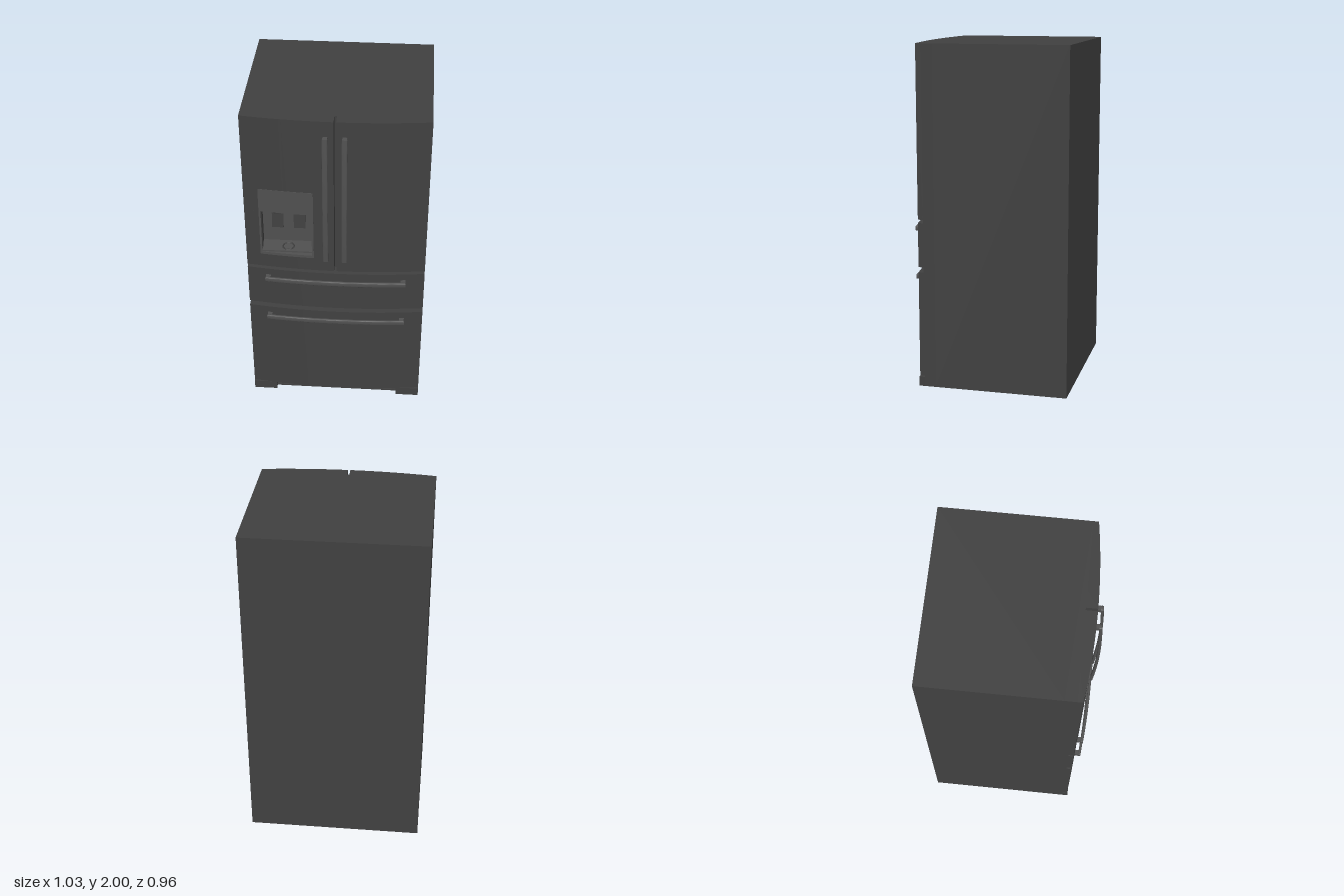
import * as THREE from 'three';
import { toCreasedNormals } from 'three/addons/utils/BufferGeometryUtils.js';

const dark = new THREE.MeshStandardMaterial({ color: 0x404040 });
const trim = new THREE.MeshStandardMaterial({ color: 0x505050 });

const W = 0.515; // half width
const BACK = -0.48, CAVITY = 0.3, BODY = 0.365; // z of back, dispenser back, cabinet front
const HOLE = { x0: -0.425, x1: -0.13, y0: 1.1, y1: 1.39 };

// Bowed front of the doors, seen from above
const frontZ = (x) => 0.43 - 0.035 * (x / W) ** 2;

function add(parent, name, geometry, material = dark, x = 0, y = 0, z = 0) {
  const mesh = new THREE.Mesh(geometry, material);
  mesh.name = name;
  mesh.position.set(x, y, z);
  parent.add(mesh);
  return mesh;
}

// Box given by its limits
function block(parent, name, x0, x1, y0, y1, z0, z1, material) {
  return add(parent, name, new THREE.BoxGeometry(x1 - x0, y1 - y0, z1 - z0), material,
    (x0 + x1) / 2, (y0 + y1) / 2, (z0 + z1) / 2);
}

// Plan outline between two z curves, extruded upwards
function planExtrude(x0, x1, zBack, zFront, height, bevel = 0) {
  const pts = [], n = 20;
  for (let i = 0; i <= n; i++) {
    const x = x0 + ((x1 - x0) * i) / n;
    pts.push(new THREE.Vector2(x, -zFront(x)));
  }
  for (let i = n; i >= 0; i--) {
    const x = x0 + ((x1 - x0) * i) / n;
    pts.push(new THREE.Vector2(x, -zBack(x)));
  }
  const geometry = new THREE.ExtrudeGeometry(new THREE.Shape(pts), {
    depth: height - 2 * bevel, bevelEnabled: bevel > 0, bevelSize: bevel,
    bevelThickness: bevel, bevelOffset: -bevel, bevelSegments: 3,
  });
  geometry.translate(0, 0, bevel).rotateX(-Math.PI / 2);
  return toCreasedNormals(geometry, 0.6);
}

// Piece of door or drawer with a bowed front
function slab(parent, name, x0, x1, y0, y1, proud = 0, material = dark) {
  const geometry = planExtrude(x0, x1, () => BODY, (x) => frontZ(x) + proud, y1 - y0);
  return add(parent, name, geometry, material, 0, y0, 0);
}

// Bowed bar handle lying along x, with a post at each end; origin at the door surface
function handle(name, half, barBack, bow, postBack) {
  const group = new THREE.Group();
  group.name = name;
  const back = (x) => barBack + bow * (1 - (x / half) ** 2);
  const bar = planExtrude(-half, half, back, (x) => back(x) + 0.016, 0.03, 0.005);
  add(group, 'handleBar', bar, trim, 0, -0.015, 0);
  for (const s of [-1, 1]) {
    const x = s * (half - 0.016);
    block(group, 'handlePost', x - 0.014, x + 0.014, -0.013, 0.013, postBack, barBack + 0.009, trim);
  }
  return group;
}

export function createModel() {
  const model = new THREE.Group();
  model.name = 'refrigerator';

  // Cabinet, with the dispenser opening cut through its front layer
  block(model, 'cabinet', -W, W, 0, 2, BACK, CAVITY);
  const face = new THREE.Shape([[-W, 0], [W, 0], [W, 2], [-W, 2]].map((p) => new THREE.Vector2(...p)));
  const { x0, x1, y0, y1 } = HOLE;
  face.holes.push(new THREE.Path([[x0, y0], [x0, y1], [x1, y1], [x1, y0]].map((p) => new THREE.Vector2(...p))));
  add(model, 'cabinetFront',
    new THREE.ExtrudeGeometry(face, { depth: BODY - CAVITY, bevelEnabled: false }), dark, 0, 0, CAVITY);

  // Upper doors; the one with the dispenser is built around the opening
  slab(model, 'leftDoor', 0.007, W, 1, 2);
  const door = new THREE.Group();
  door.name = 'rightDoor';
  model.add(door);
  slab(door, 'doorTop', -W, -0.007, y1, 2);
  slab(door, 'doorBottom', -W, -0.007, 1, y0);
  slab(door, 'doorOuterSide', -W, x0, y0, y1);
  slab(door, 'doorInnerSide', x1, -0.007, y0, y1);

  // Drawers
  slab(model, 'upperDrawer', -W, W, 0.72, 0.98);
  slab(model, 'lowerDrawer', -W, W, 0.065, 0.69);

  // Dispenser
  const dispenser = new THREE.Group();
  dispenser.name = 'dispenser';
  model.add(dispenser);
  slab(dispenser, 'controlPanel', -0.432, -0.123, y1, 1.54, 0.002, trim);
  slab(dispenser, 'frameBottom', -0.432, -0.123, 1.088, 1.105, 0.002, trim);
  slab(dispenser, 'frameOuterSide', -0.432, x0 + 0.004, 1.105, y1, 0.002, trim);
  slab(dispenser, 'frameInnerSide', x1 - 0.004, -0.123, 1.105, y1, 0.002, trim);
  block(dispenser, 'recessBack', x0, x1, y0, y1, CAVITY, CAVITY + 0.004, trim);
  block(dispenser, 'dripTray', x0, x1, y0, y0 + 0.014, CAVITY, 0.405, trim);
  const ring = new THREE.TorusGeometry(0.032, 0.004, 8, 32).rotateX(Math.PI / 2);
  add(dispenser, 'dripRing', ring, dark, -0.275, y0 + 0.015, 0.36);
  for (const x of [-0.337, -0.212]) {
    const paddle = block(dispenser, 'paddle', x - 0.033, x + 0.033, 1.225, 1.365, 0.318, 0.326, dark);
    paddle.rotation.x = -0.08;
    block(dispenser, 'paddleArm', x - 0.015, x + 0.015, 1.3, 1.34, CAVITY, 0.32, dark);
  }
  add(dispenser, 'iceChute', new THREE.CylinderGeometry(0.036, 0.03, 0.03, 24), dark, -0.337, 1.376, 0.355);
  add(dispenser, 'waterNozzle', new THREE.CylinderGeometry(0.02, 0.009, 0.03, 20), dark, -0.212, 1.376, 0.355);

  // Door handles
  for (const [name, x] of [['leftDoorHandle', 0.053], ['rightDoorHandle', -0.053]]) {
    const h = handle(name, 0.41, 0.447, 0.015, 0.42);
    h.rotation.z = Math.PI / 2;
    h.position.set(x, 1.5, 0);
    model.add(h);
  }

  // Drawer handles
  for (const [name, y] of [['upperDrawerHandle', 0.925], ['lowerDrawerHandle', 0.635]]) {
    const h = handle(name, 0.408, 0.429, 0.018, 0.4);
    h.position.y = y;
    model.add(h);
  }

  // Base: corner feet and the recessed grille between them
  for (const s of [-1, 1]) {
    const a = s * 0.375, b = s * W;
    block(model, 'foot', Math.min(a, b), Math.max(a, b), 0, 0.056, BODY, 0.4);
  }
  for (const y of [0.008, 0.028, 0.045]) {
    block(model, 'grilleSlat', -0.375, 0.375, y - 0.005, y + 0.005, BODY, 0.373);
  }
  return model;
}
